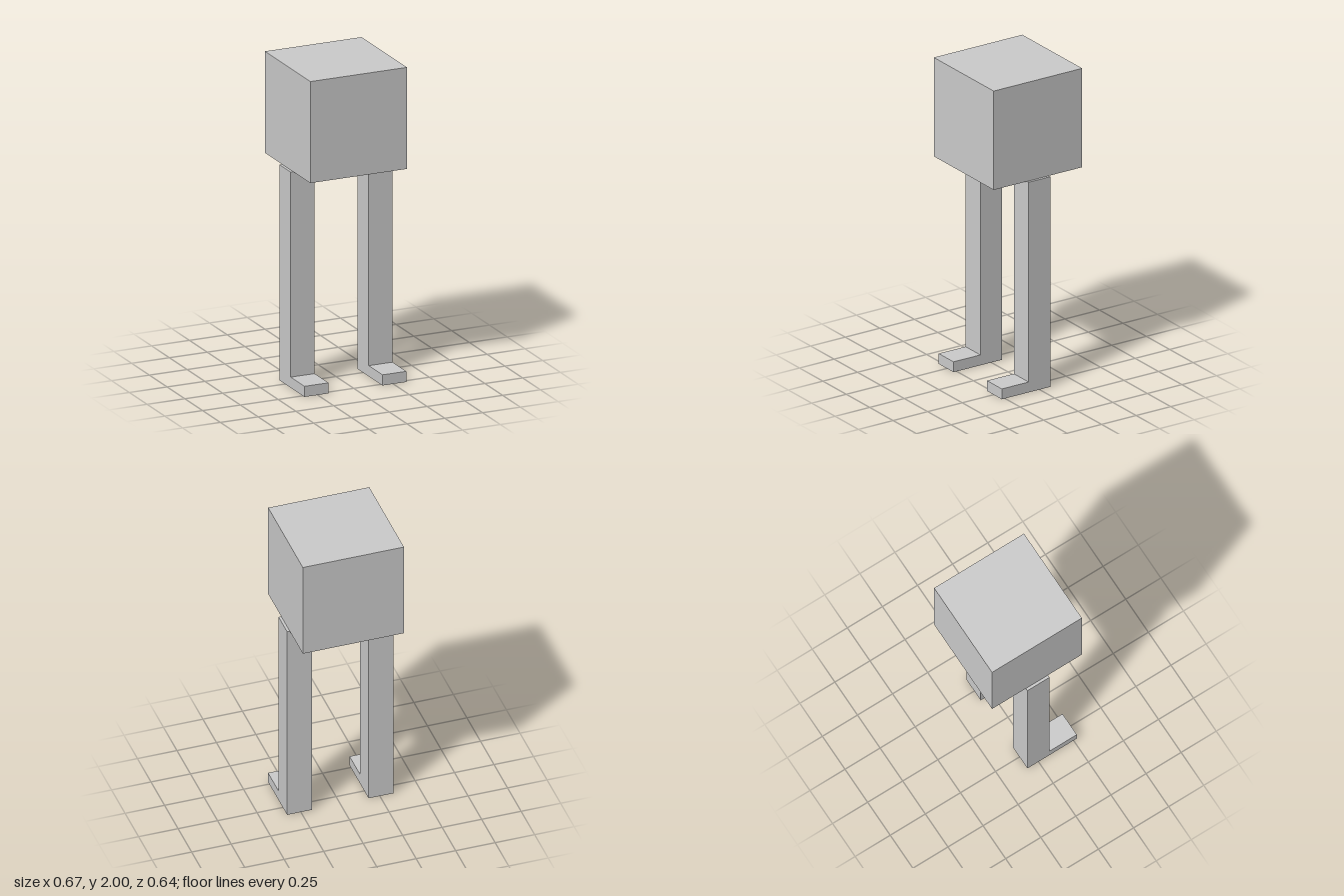
import * as THREE from 'three';

export function createModel() {
  const model = new THREE.Group();
  model.name = 'walkingBox';

  const grey = new THREE.MeshStandardMaterial({ color: 0xcccccc });
  grey.name = 'lightGrey';

  // Cube body resting on the legs
  const bodySize = 0.64;
  const legTop = 2 - bodySize;
  const body = new THREE.Mesh(new THREE.BoxGeometry(bodySize, bodySize, bodySize), grey);
  body.name = 'body';
  body.position.y = legTop + bodySize / 2;
  model.add(body);

  // Leg and foot share one L-shaped side profile (z, y), extruded across x
  const legWidth = 0.158;
  const profile = new THREE.Shape([
    [-0.079, 0], [0.273, 0], [0.273, 0.067], [0.079, 0.067], [0.079, legTop], [-0.079, legTop],
  ].map(([z, y]) => new THREE.Vector2(z, y)));
  const legGeometry = new THREE.ExtrudeGeometry(profile, { depth: legWidth, bevelEnabled: false });
  legGeometry.translate(0, 0, -legWidth / 2);
  legGeometry.rotateY(-Math.PI / 2);

  for (const [name, side] of [['leftLeg', 1], ['rightLeg', -1]]) {
    const leg = new THREE.Mesh(legGeometry, grey);
    leg.name = name;
    leg.position.x = side * 0.258;
    model.add(leg);
  }

  return model;
}
